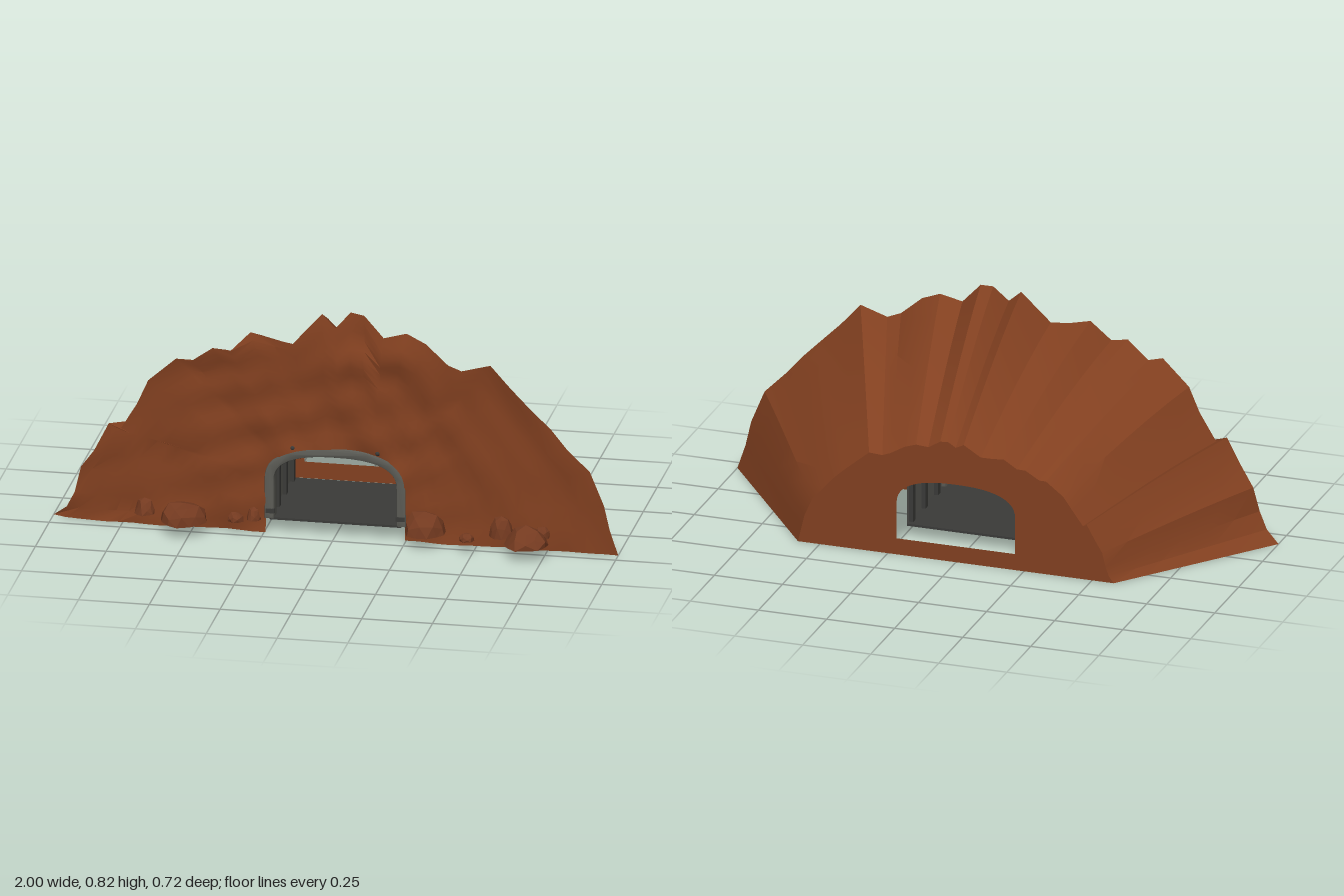
import * as THREE from 'three';
import { toCreasedNormals } from 'three/addons/utils/BufferGeometryUtils.js';

const DS = THREE.DoubleSide;
const rock = new THREE.MeshStandardMaterial({ color: 0x824020, side: DS });
const boulderMat = new THREE.MeshStandardMaterial({ color: 0x743a20, flatShading: true });
const steel = new THREE.MeshStandardMaterial({ color: 0x5c5c56, side: DS });
const dark = new THREE.MeshStandardMaterial({ color: 0x3a3a38, side: DS });
const FRONT = 0.2, BACK = -0.36, TUNNEL_END = -0.21, FLOOR = 0.055;

// Jagged skyline of the mound, left foot to right foot
const skyline = [
  [-1, 0], [-.95, .04], [-.92, .1], [-.9, .19], [-.85, .26], [-.8, .36], [-.76, .34], [-.7, .44], [-.66, .53],
  [-.56, .62], [-.51, .61], [-.43, .67], [-.37, .66], [-.3, .73], [-.22, .71], [-.15, .7], [-.05, .81], [0, .765],
  [.05, .82], [.1, .815], [.17, .74], [.25, .76], [.32, .73], [.4, .66], [.45, .64], [.55, .67], [.62, .59],
  [.7, .51], [.76, .45], [.82, .38], [.9, .3], [.95, .18], [.97, .09], [1, 0]];
const N = skyline.length;

// Low rounded arch from left foot to right foot
function arch(w, base, spring, top, nArc = 24, nSide = 5) {
  const pts = [];
  for (let i = 0; i < nSide; i++) pts.push([-w, base + (spring - base) * i / nSide]);
  for (let i = 0; i <= nArc; i++) {
    const a = Math.PI * (1 - i / nArc), c = Math.cos(a), s = Math.max(0, Math.sin(a));
    pts.push([w * Math.sign(c) * Math.abs(c) ** 0.8, spring + (top - spring) * s ** 0.8]);
  }
  for (let i = nSide - 1; i >= 0; i--) pts.push([w, base + (spring - base) * i / nSide]);
  return pts;
}

// Grid surface: at(i, j) gives the point in row j, column i
function surface(cols, rows, at) {
  const pos = [], idx = [];
  for (let j = 0; j < rows; j++) for (let i = 0; i < cols; i++) pos.push(...at(i, j));
  for (let j = 0; j < rows - 1; j++) for (let i = 0; i < cols - 1; i++) {
    const a = j * cols + i, b = a + cols;
    idx.push(a, a + 1, b, a + 1, b + 1, b);
  }
  const g = new THREE.BufferGeometry();
  g.setAttribute('position', new THREE.Float32BufferAttribute(pos, 3));
  g.setIndex(idx);
  g.computeVertexNormals();
  return g;
}

const toVecs = pts => pts.map(p => new THREE.Vector2(p[0], p[1]));

// Depth of the rough front: small bumps, a brow below the crest, a set-back crest and left foot
function faceZ(x, y) {
  const bumps = 0.004 * Math.sin(x * 19 + y * 13) + 0.004 * Math.sin(y * 43 - x * 11) + 0.003 * Math.sin(x * 37 + y * 27);
  const brow = 0.012 * Math.exp(-(((y - 0.66) / 0.06) ** 2));
  const foot = x < 0 ? 0.03 * Math.abs(x) ** 16 : 0;
  return FRONT + bumps + brow - 0.02 * (y / 0.82) ** 8 - foot;
}

function archRing(wOut, tOut, wIn, tIn, depth, base, bevel = 0) {
  const outer = arch(wOut, base, 0.19, tOut), inner = arch(wIn, base, 0.19, tIn).reverse();
  const g = new THREE.ExtrudeGeometry(new THREE.Shape(toVecs([...outer, ...inner])), {
    depth, bevelEnabled: bevel > 0, bevelThickness: bevel, bevelSize: bevel, bevelOffset: -bevel, bevelSegments: 2 });
  return toCreasedNormals(g, 0.6);
}

// Faceted stone with a flat underside
function boulder(x, z, r, h, seed) {
  const g = new THREE.IcosahedronGeometry(1, 1), p = g.attributes.position;
  for (let i = 0; i < p.count; i++) {
    const X = p.getX(i), Y = p.getY(i), Z = p.getZ(i);
    const k = 0.95 + 0.1 * Math.sin(X * 5 + seed * 3) * Math.cos(Z * 4 + seed) + 0.05 * Math.sin(Y * 6 + seed * 2);
    p.setXYZ(i, X * k * r, Math.max(0, Y * k) * h, Z * k * r);
  }
  g.computeVertexNormals();
  const m = new THREE.Mesh(g, boulderMat);
  m.position.set(x, 0.047, z);
  m.rotation.y = seed;
  return m;
}

export function createModel() {
  const root = new THREE.Group();
  const add = (name, geo, mat, x = 0, y = 0, z = 0, parent = root) => {
    const m = new THREE.Mesh(geo, mat);
    m.name = name;
    m.position.set(x, y, z);
    parent.add(m);
    return m;
  };

  // Rough front wall, stretched from the doorway out to the skyline
  const door = arch(0.245, 0, 0.19, 0.318, N - 11);
  add('frontWall', toCreasedNormals(surface(N, 17, (i, j) => {
    const t = j / 16, [ax, ay] = door[i], [bx, by] = skyline[i];
    const x = ax + (bx - ax) * t, y = ay + (by - ay) * t;
    return [x, y, faceZ(x, y)];
  }), 0.5), rock);

  // Ridged shell tapering to the back
  const backLine = skyline.map(([x, y]) => {
    const a = Math.atan2(y / 0.8, x);
    return [0.6 * x * 0.58 + 0.4 * 0.58 * Math.cos(a), 0.6 * y * 0.545 + 0.4 * 0.445 * Math.sin(a)];
  });
  add('moundShell', toCreasedNormals(surface(N, 7, (i, j) => {
    const t = j / 6, [ax, ay] = skyline[i], [bx, by] = backLine[i], z0 = faceZ(ax, ay);
    const swell = 1 + 0.12 * t * (1 - t);
    return [ax + (bx - ax) * t, (ay + (by - ay) * t) * swell, z0 + (BACK - z0) * t];
  }), 0.3), rock);

  // Flat back wall with its opening
  const backShape = new THREE.Shape(toVecs(backLine));
  backShape.holes.push(new THREE.Path(toVecs(arch(0.218, FLOOR + 0.005, 0.19, 0.29))));
  add('backWall', new THREE.ShapeGeometry(backShape), rock, 0, 0, BACK);

  // Tunnel lining, floor and ribs, ending short of the back wall
  const lining = arch(0.232, FLOOR, 0.19, 0.305);
  add('tunnelLining', surface(lining.length, 2, (i, j) => [...lining[i], j ? TUNNEL_END : FRONT - 0.01]), steel);
  add('tunnelFloor', new THREE.BoxGeometry(0.464, 0.008, FRONT - TUNNEL_END), dark, 0, FLOOR - 0.004, (FRONT + TUNNEL_END) / 2);
  const ribs = new THREE.Group();
  ribs.name = 'tunnelRibs';
  root.add(ribs);
  for (const z of [0.07, -0.06, -0.19]) add('rib', archRing(0.231, 0.304, 0.217, 0.289, 0.025, FLOOR), dark, 0, 0, z, ribs);

  // Door frame set into the rock, with small brackets and lamps
  add('doorFrame', archRing(0.25, 0.322, 0.216, 0.289, 0.04, 0.05, 0.007), steel, 0, 0, 0.158);
  for (const s of [-1, 1]) {
    add('frameBracket', new THREE.BoxGeometry(0.03, 0.016, 0.012), dark, s * 0.23, 0.08, 0.202);
    add('frameLamp', new THREE.SphereGeometry(0.009, 10, 8), dark, s * 0.15, 0.316, 0.2);
  }
  add('hangingLamp', new THREE.SphereGeometry(0.015, 12, 10), dark, -0.06, 0.262, 0);
  add('lampStem', new THREE.CylinderGeometry(0.004, 0.004, 0.035, 8), dark, -0.06, 0.287, 0);

  // Boulders along the foot of the wall: x, z, radius, height
  const boulders = new THREE.Group();
  boulders.name = 'boulders';
  root.add(boulders);
  [[-.67, .215, .038, .055], [-.52, .265, .088, .068], [-.345, .235, .03, .035], [-.285, .21, .026, .045],
    [.32, .225, .078, .08], [.48, .28, .028, .03], [.69, .28, .078, .068], [.59, .21, .045, .075], [.73, .2, .03, .05]]
    .forEach(([x, z, r, h], i) => {
      const b = boulder(x, z, r, h, i + 1);
      b.name = 'boulder';
      boulders.add(b);
    });
  return root;
}
